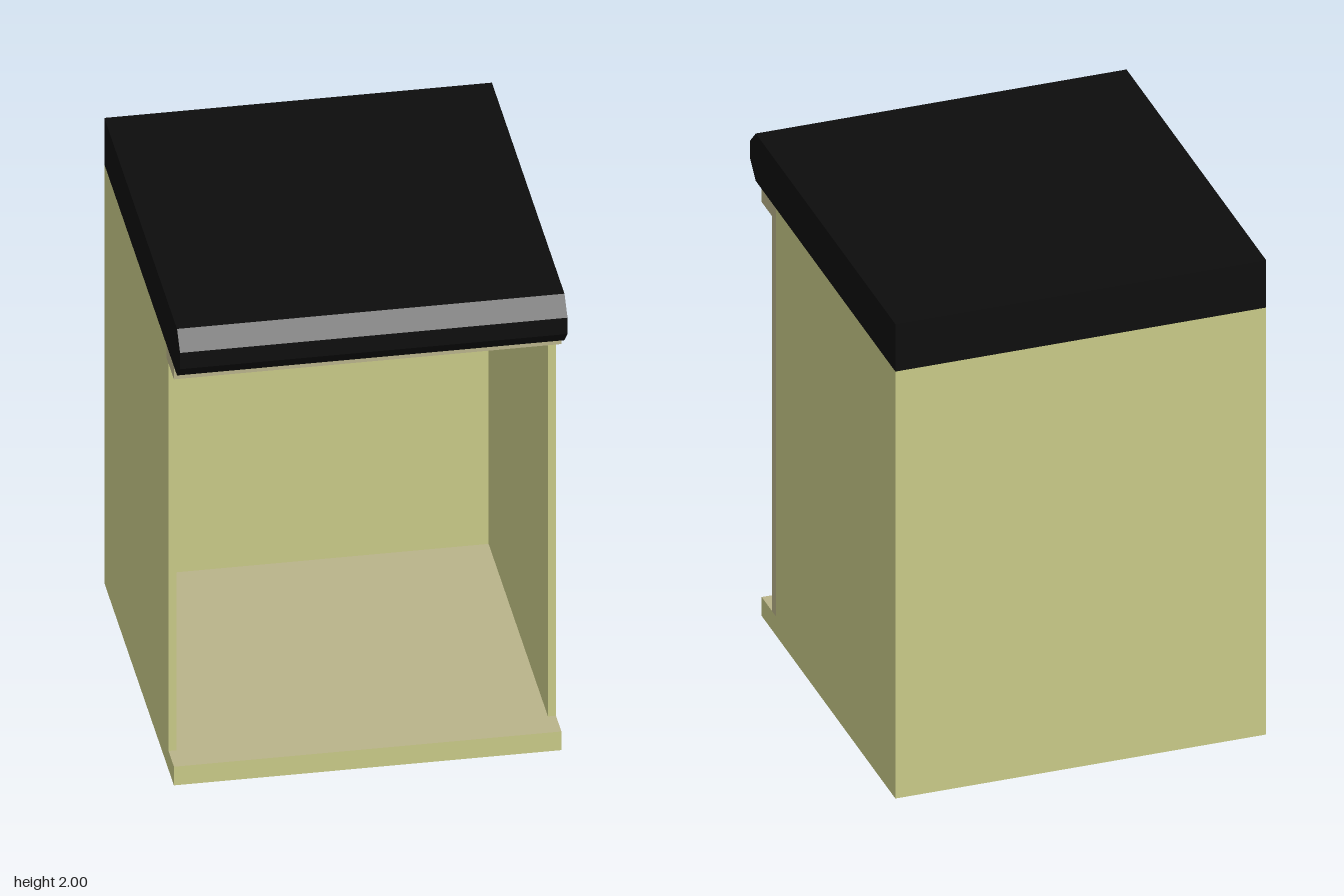
import * as THREE from 'three';

export function createModel() {
  const group = new THREE.Group();
  const mat = (color) => {
    const m = new THREE.MeshStandardMaterial();
    m.color.set(color);
    return m;
  };
  const green = mat(0xc8c987), tan = mat(0xb9b38a), black = mat(0x0d0d0d);

  // Box given by its extents on each axis
  function box(name, [x0, x1], [y0, y1], [z0, z1], material) {
    const mesh = new THREE.Mesh(new THREE.BoxGeometry(x1 - x0, y1 - y0, z1 - z0), material);
    mesh.position.set((x0 + x1) / 2, (y0 + y1) / 2, (z0 + z1) / 2);
    mesh.name = name;
    group.add(mesh);
  }

  const W = 0.725, IN = 0.695, BACK = -0.8, BACK_IN = -0.7;
  const FRONT = 0.555, TRIM = 0.515, SILL = 0.67;
  const FLOOR = 0.08, RAIL = 1.745, TOP = 1.8;

  // Floor slab with a projecting sill and a tan upper face
  box('floor', [-W, W], [0, FLOOR], [BACK, SILL], [green, green, tan, green, green, green]);

  // Back and side walls; the outer left edge has a tan trim face
  box('backWall', [-IN, IN], [FLOOR, TOP], [BACK, BACK_IN], green);
  box('rightWall', [-W, -IN], [FLOOR, TOP], [BACK, TRIM], green);
  box('leftWall', [IN, W], [FLOOR, TOP], [BACK, TRIM], green);
  box('rightFrontEdge', [-W, -IN], [FLOOR, RAIL], [TRIM, FRONT], green);
  box('leftFrontEdge', [IN, W], [FLOOR, RAIL], [TRIM, FRONT], [tan, green, green, green, green, green]);

  // Ceiling panel between the walls and the projecting front rail
  box('ceiling', [-IN, IN], [RAIL, TOP], [BACK_IN, TRIM], tan);
  box('frontRail', [-W, W], [RAIL, TOP], [TRIM, SILL], tan);

  // Worktop: side profile with a chamfered nose, extruded across the width
  const profile = new THREE.Shape([
    [BACK, TOP], [0.735, TOP], [0.8, 1.865], [0.8, 1.935], [0.735, 2], [BACK, 2],
  ].map(([z, y]) => new THREE.Vector2(z, y)));
  const geo = new THREE.ExtrudeGeometry(profile, { depth: 2 * W, bevelEnabled: false });
  geo.rotateY(-Math.PI / 2); // profile x becomes z, depth runs along -x
  geo.translate(W, 0, 0);
  const worktop = new THREE.Mesh(geo, black);
  worktop.name = 'worktop';
  group.add(worktop);

  return group;
}
